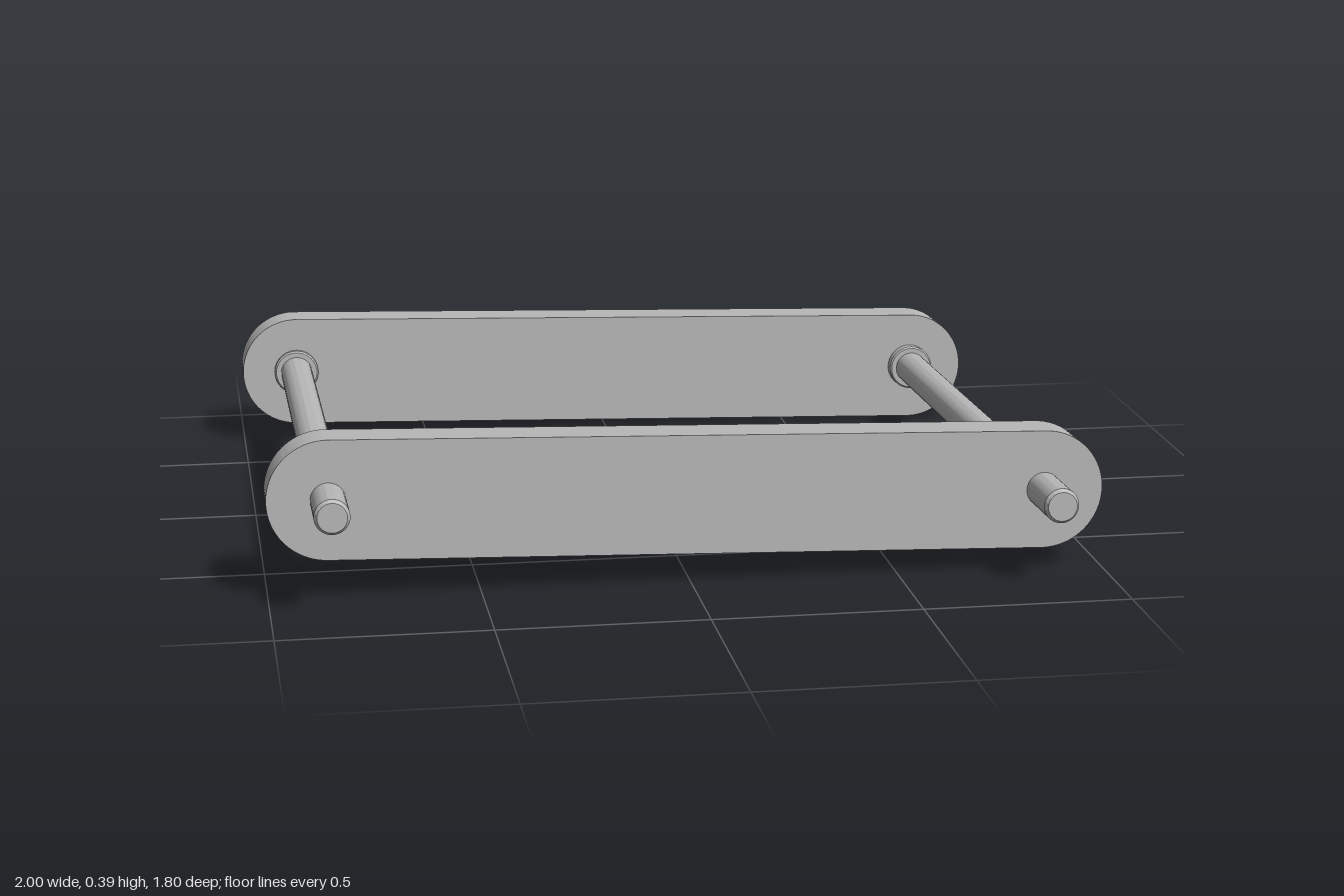
import * as THREE from 'three';
import { toCreasedNormals } from 'three/addons/utils/BufferGeometryUtils.js';

const SPAN = 0.856;       // bolt axis distance from the centre
const PLATE_R = 0.144;    // half height of a plate
const PLATE_T = 0.11;     // plate thickness
const FRONT_Z = 0.669, BACK_Z = -0.76;

export function createModel() {
  const steel = new THREE.MeshStandardMaterial({ color: 0xb8b8b8 });
  steel.name = 'steelGrey';

  const add = (parent, name, geometry) => {
    const mesh = new THREE.Mesh(toCreasedNormals(geometry, 0.5), steel);
    mesh.name = name;
    parent.add(mesh);
    return mesh;
  };
  // Turned part along z from [radius, z] points
  const turned = (points) =>
    new THREE.LatheGeometry(points.map(([r, z]) => new THREE.Vector2(r, z)), 40).rotateX(Math.PI / 2);

  const frame = new THREE.Group();
  frame.name = 'frame';

  // Round-ended plates
  const outline = new THREE.Shape();
  outline.absarc(SPAN, 0, PLATE_R, -Math.PI / 2, Math.PI / 2, false);
  outline.absarc(-SPAN, 0, PLATE_R, Math.PI / 2, Math.PI * 1.5, false);
  outline.closePath();
  for (const [name, z] of [['frontPlate', FRONT_Z], ['backPlate', BACK_Z]]) {
    const plate = new THREE.ExtrudeGeometry(outline, { depth: PLATE_T, bevelEnabled: false, curveSegments: 28 });
    add(frame, name, plate.translate(0, 0, z - PLATE_T / 2));
  }

  // Ring with a hexagonal socket, set into the bolt head
  const ring = new THREE.Shape().absarc(0, 0, 0.062, 0, Math.PI * 2, false);
  const hex = [];
  for (let i = 0; i < 6; i++) {
    const a = -i * Math.PI / 3;
    hex.push(new THREE.Vector2(0.043 * Math.cos(a), 0.043 * Math.sin(a)));
  }
  ring.holes.push(new THREE.Path(hex));

  // Bolts with their spacer collars; the left pair of collars is thicker
  for (const [side, x, collar, shift] of [['left', SPAN, 0.03, 0.005], ['right', -SPAN, 0.017, 0]]) {
    const bolt = new THREE.Group();
    bolt.name = side + 'Bolt';
    bolt.position.set(x, 0, 0);
    frame.add(bolt);

    const back = -0.903 + shift, tip = 0.888 + shift;
    add(bolt, side + 'BoltBody', turned([
      [0.062, back], [0.069, back + 0.002], [0.075, back + 0.007], [0.077, back + 0.014],
      [0.077, -0.814], [0.042, -0.814], [0.042, tip - 0.01], [0.035, tip], [0, tip],
    ]));
    const socket = new THREE.ExtrudeGeometry(ring, { depth: 0.05, bevelEnabled: false, curveSegments: 20 });
    add(bolt, side + 'HexSocket', socket.translate(0, 0, back));
    add(bolt, side + 'SocketFloor',
      new THREE.CircleGeometry(0.06, 24).rotateY(Math.PI).translate(0, 0, back + 0.049));

    // Collars against the inner plate faces
    const backFace = BACK_Z + PLATE_T / 2, frontFace = FRONT_Z - PLATE_T / 2;
    add(bolt, side + 'BackCollar', turned([
      [0.059, backFace], [0.059, backFace + collar - 0.004], [0.055, backFace + collar], [0.04, backFace + collar],
    ]));
    add(bolt, side + 'FrontCollar', turned([
      [0.04, frontFace - collar], [0.055, frontFace - collar], [0.059, frontFace - collar + 0.004], [0.059, frontFace],
    ]));
  }

  // The whole frame rests slightly tilted
  frame.rotation.set(-0.033, 0, -0.028);
  frame.position.y = 0.199;

  const model = new THREE.Group();
  model.name = 'boltedPlateFrame';
  model.add(frame);
  return model;
}
